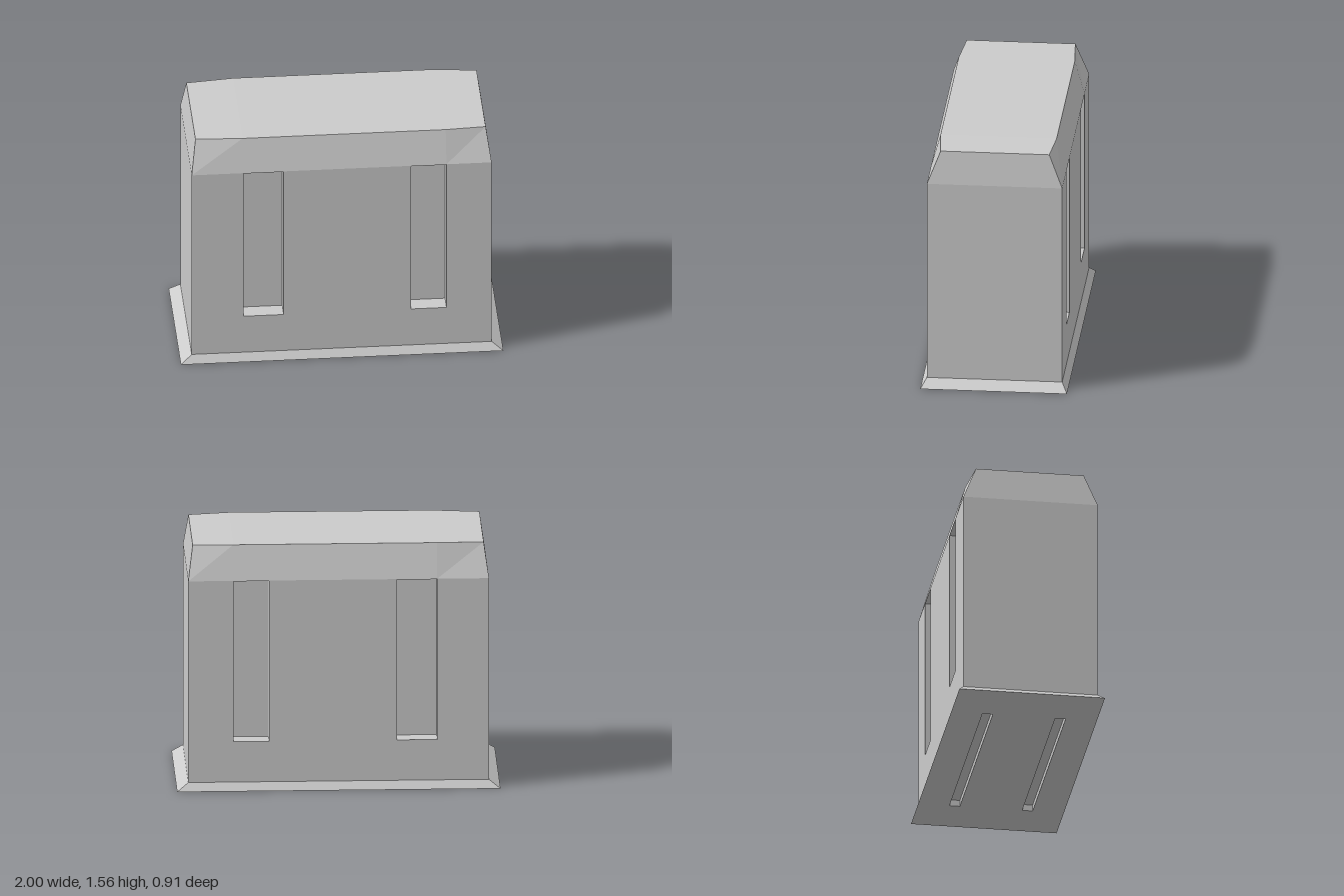
import * as THREE from 'three';

const material = new THREE.MeshStandardMaterial({ color: 0xcccccc, flatShading: true });

// Mesh from flat quads, corners counter-clockwise seen from outside
function quadMesh(name, quads) {
  const pos = quads.flatMap(([a, b, c, d]) => [a, b, c, a, c, d].flat());
  const geo = new THREE.BufferGeometry();
  geo.setAttribute('position', new THREE.Float32BufferAttribute(pos, 3));
  geo.computeVertexNormals();
  const mesh = new THREE.Mesh(geo, material);
  mesh.name = name;
  return mesh;
}

// Side walls between two rings of points
const loft = (low, high) => low.map((p, i) => {
  const j = (i + 1) % low.length;
  return [p, low[j], high[j], high[i]];
});

const corners = ([x0, y0, x1, y1], z) => [[x0, y0, z], [x1, y0, z], [x1, y1, z], [x0, y1, z]];
const ring = (x, z, y) => [[-x, y, z], [x, y, z], [x, y, -z], [-x, y, -z]];

// Flat panel facing +z with rectangular pockets sunk into it
function pocketPanel(name, outline, slots, depth) {
  const group = new THREE.Group();
  group.name = name;
  const shape = new THREE.Shape(corners(outline, 0).map(([x, y]) => new THREE.Vector2(x, y)));
  for (const slot of slots) {
    shape.holes.push(new THREE.Path(corners(slot, 0).map(([x, y]) => new THREE.Vector2(x, y))));
    const rim = corners(slot, 0), floor = corners(slot, -depth);
    group.add(quadMesh(name + 'Slot', [floor, ...loft(rim, floor)]));
  }
  const face = new THREE.Mesh(new THREE.ShapeGeometry(shape), material);
  face.name = name + 'Face';
  group.add(face);
  return group;
}

export function createModel() {
  const model = new THREE.Group();
  model.name = 'slottedBlock';
  const W = 0.93, D = 0.42, Y0 = 0.05, Y1 = 1.345;

  // Front and back walls with upright slots
  const wall = [-W, Y0, W, Y1];
  const slots = [[-0.61, 0.31, -0.36, 1.342], [0.43, 0.31, 0.65, 1.342]];
  const front = pocketPanel('frontWall', wall, slots, 0.11);
  front.position.z = D;
  const back = pocketPanel('backWall', wall, slots.map(([a, b, c, d]) => [-c, b, -a, d]), 0.11);
  back.rotation.y = Math.PI;
  back.position.z = -D;
  model.add(front, back);

  // Plain end walls
  const sides = loft(ring(W, D, Y0), ring(W, D, Y1));
  model.add(quadMesh('endWalls', [sides[1], sides[3]]));

  // Flared foot and underside with two long grooves
  model.add(quadMesh('flaredFoot', loft(ring(1, 0.455, 0), ring(W, D, Y0))));
  const underside = pocketPanel('underside', [-1, -0.455, 1, 0.455],
    [[-0.66, -0.26, 0.7, -0.195], [-0.66, 0.195, 0.7, 0.26]], 0.04);
  underside.rotation.x = Math.PI / 2;
  model.add(underside);

  // Chamfered roof, slightly narrower and lower at both ends
  const eaves = [-W, -0.61, 0.65, W].map(x => [x, Y1, D]);
  const ridge = [[-0.9, 1.555, 0.337], [-0.61, 1.56, 0.36], [0.65, 1.56, 0.36], [0.9, 1.555, 0.337]];
  const around = pts => [...pts, ...pts.map(([x, y, z]) => [x, y, -z]).reverse()];
  model.add(quadMesh('roofChamfer', loft(around(eaves), around(ridge))));
  const top = around(ridge);
  model.add(quadMesh('roofTop', [0, 1, 2].map(i => [top[i], top[i + 1], top[6 - i], top[7 - i]])));

  return model;
}
